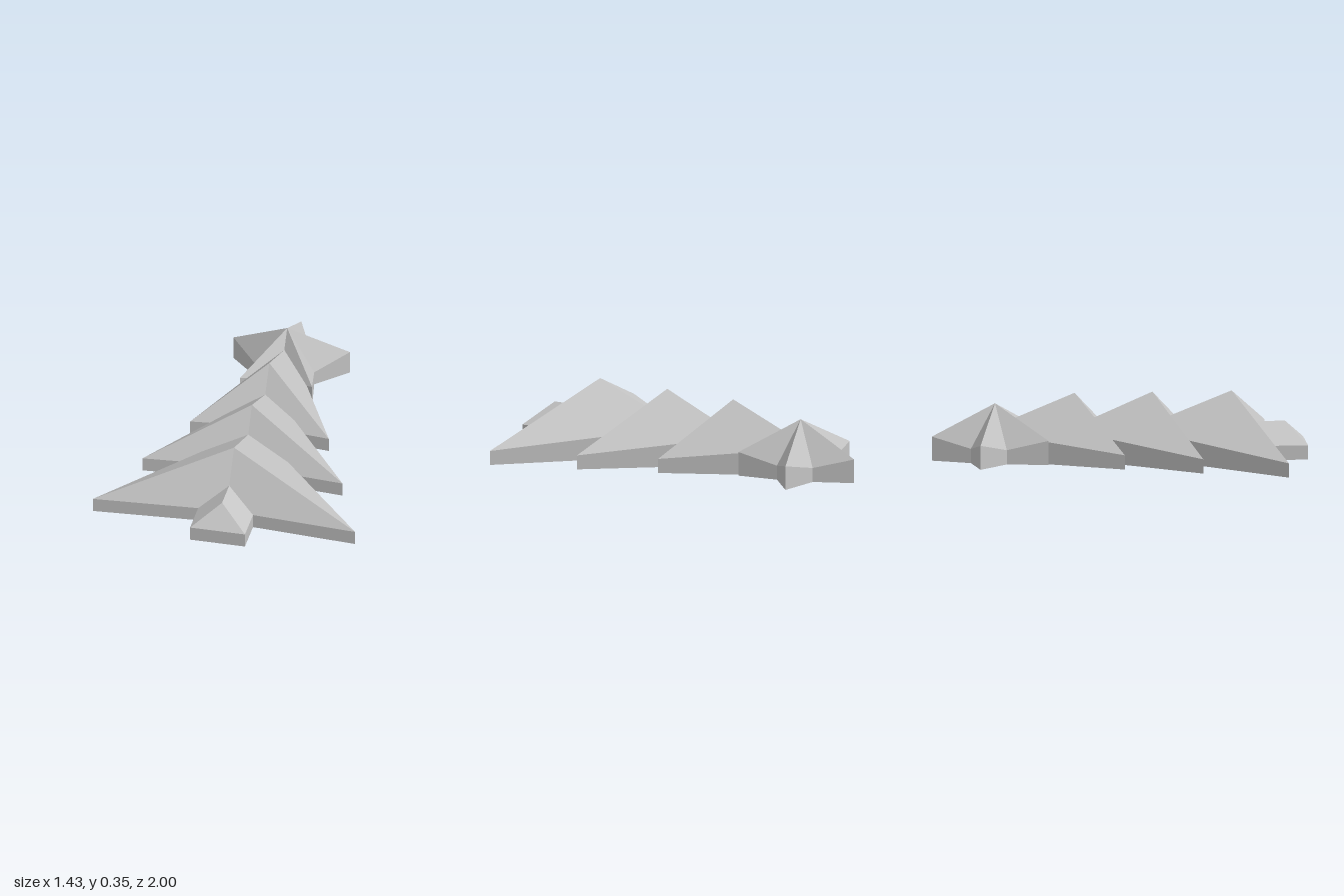
import * as THREE from 'three';

// Faceted solid: flat base, vertical walls up to the rim, then facets fanning to a peak.
// The rim lists [x, y, z] points, counter-clockwise as seen from above.
function facetedSolid(name, rim, peak, material) {
  const positions = [];
  const ground = (p) => [p[0], 0, p[2]];
  rim.forEach((p, i) => {
    const q = rim[(i + 1) % rim.length];
    positions.push(...peak, ...p, ...q); // roof facet
    positions.push(...ground(p), ...ground(q), ...q, ...ground(p), ...q, ...p); // wall
    positions.push(...ground(peak), ...ground(q), ...ground(p)); // base
  });
  const geometry = new THREE.BufferGeometry();
  geometry.setAttribute('position', new THREE.Float32BufferAttribute(positions, 3));
  geometry.computeVertexNormals();
  const mesh = new THREE.Mesh(geometry, material);
  mesh.name = name;
  return mesh;
}

export function createModel() {
  const group = new THREE.Group();
  group.name = 'flatTree';
  const grey = new THREE.MeshStandardMaterial({ color: 0xc4c4c4, flatShading: true });
  grey.name = 'grey';

  // Branch tiers: arrowheads with a notched front edge
  const tiers = [
    { name: 'lowerBranches', w: 0.717, corner: 0.845, notch: 0.797, peak: 0.604, tip: 0.1 },
    { name: 'middleBranches', w: 0.547, corner: 0.403, notch: 0.36, peak: 0.18, tip: -0.28 },
    { name: 'upperBranches', w: 0.379, corner: -0.002, notch: -0.04, peak: -0.236, tip: -0.725 },
  ];
  for (const t of tiers) {
    const rim = [
      [0, 0.077, t.notch],
      [t.w, 0.077, t.corner],
      [0, 0.155, t.tip],
      [-t.w, 0.077, t.corner],
    ];
    group.add(facetedSolid(t.name, rim, [0, 0.355, t.peak], grey));
  }

  // Trunk: ridged block with a sloped front end
  const trunkRim = [
    [-0.15, 0.077, 1], [0.15, 0.077, 1],
    [0.15, 0.077, 0.62], [0, 0.187, 0.62], [-0.15, 0.077, 0.62],
  ];
  group.add(facetedSolid('trunk', trunkRim, [0, 0.187, 0.89], grey));

  // Five-pointed star, starting at the inner corner that faces the tree
  const starRim = [];
  for (let i = 0; i < 10; i++) {
    const angle = (i * Math.PI) / 5;
    const tip = i % 2 === 1;
    const r = tip ? 0.335 : 0.167;
    starRim.push([r * Math.sin(angle), tip ? 0.13 : 0.077, -0.665 + r * Math.cos(angle)]);
  }
  group.add(facetedSolid('star', starRim, [0, 0.305, -0.662], grey));

  return group;
}
